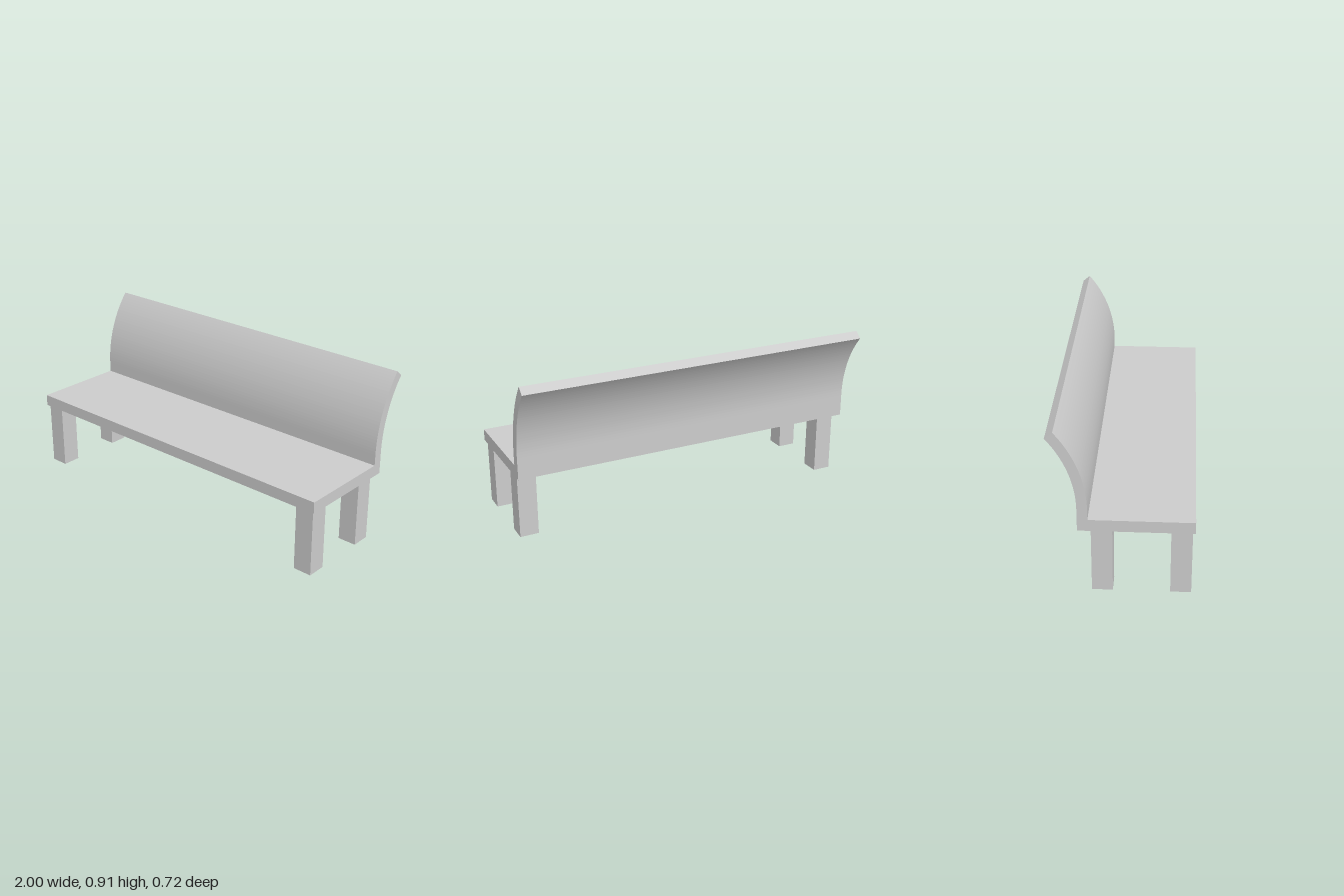
import * as THREE from 'three';

const material = new THREE.MeshStandardMaterial({ color: 0xcccccc, flatShading: true });

export function createModel() {
  const bench = new THREE.Group();
  bench.name = 'bench';

  // Seat and curved backrest: one side profile (z, y) swept along the width
  const length = 2, seatBottom = 0.367, seatTop = 0.431, seatFront = 0.362;
  const arcZ = -0.825, arcY = 0.492, frontRadius = 0.658, rearRadius = 0.606;
  const lean = THREE.MathUtils.degToRad(40);

  const profile = new THREE.Shape();
  profile.moveTo(arcZ + rearRadius, seatBottom);
  profile.lineTo(seatFront, seatBottom);
  profile.lineTo(seatFront, seatTop);
  profile.lineTo(arcZ + frontRadius, seatTop);
  profile.absarc(arcZ, arcY, frontRadius, 0, lean, false);
  profile.absarc(arcZ, arcY, rearRadius, lean, 0, true);
  profile.closePath();

  const sweep = new THREE.ExtrudeGeometry(profile, { depth: length, bevelEnabled: false, curveSegments: 14 });
  sweep.translate(0, 0, -length / 2).rotateY(-Math.PI / 2);
  const seat = new THREE.Mesh(sweep, material);
  seat.name = 'seatAndBackrest';
  bench.add(seat);

  // Four square legs
  const legGeometry = new THREE.BoxGeometry(0.104, seatBottom, 0.106);
  for (const [sideName, x] of [['Left', 0.935], ['Right', -0.935]]) {
    for (const [endName, z] of [['front', 0.296], ['rear', -0.1]]) {
      const leg = new THREE.Mesh(legGeometry, material);
      leg.name = `${endName}${sideName}Leg`;
      leg.position.set(x, seatBottom / 2, z);
      bench.add(leg);
    }
  }
  return bench;
}
